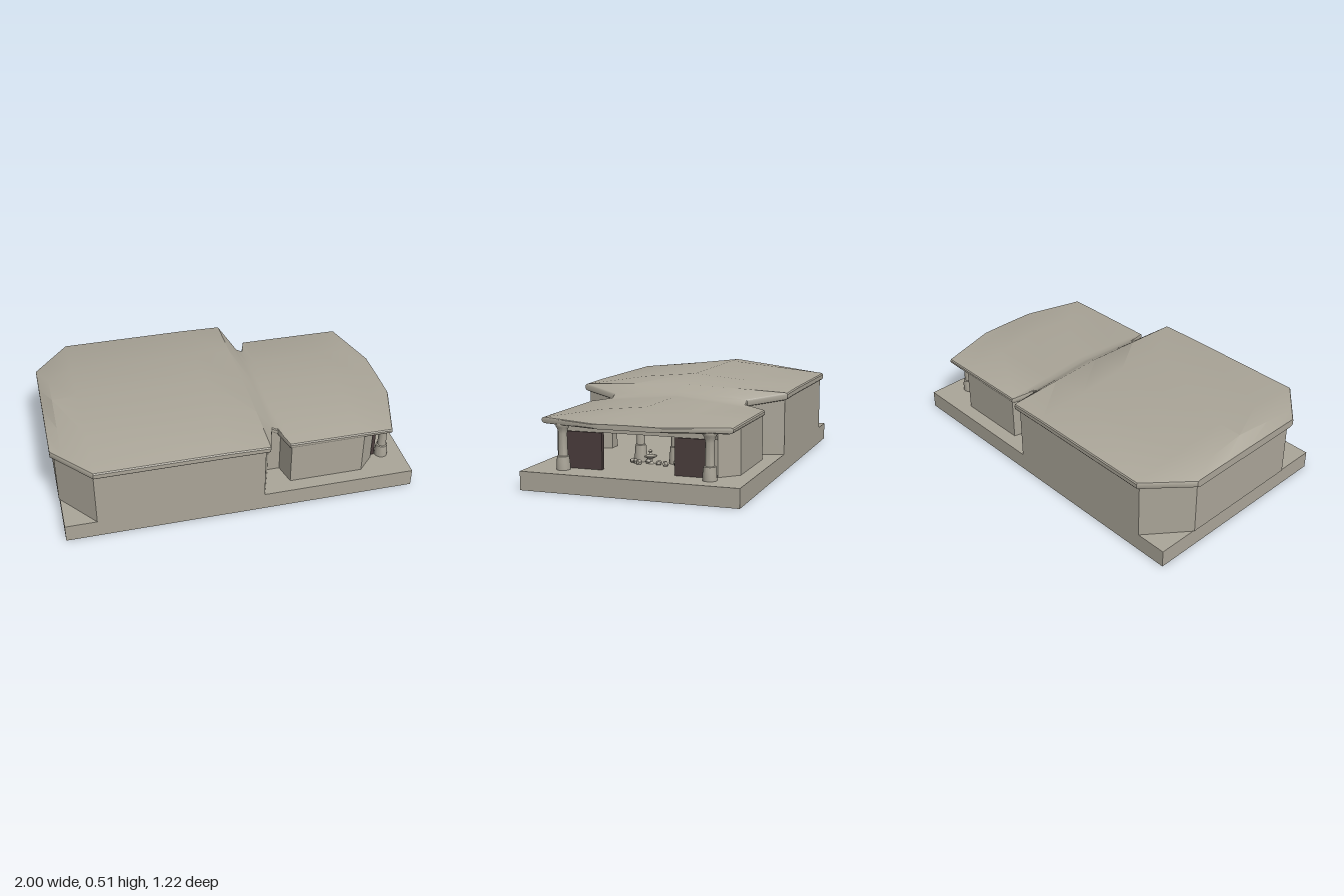
import * as THREE from 'three';
import { toCreasedNormals } from 'three/addons/utils/BufferGeometryUtils.js';

const stone = new THREE.MeshStandardMaterial({ color: 0xaaa598 });
stone.name = 'stone';
const wallStone = new THREE.MeshStandardMaterial({ color: 0xaaa598, side: THREE.DoubleSide });
wallStone.name = 'wall stone';
const darkWood = new THREE.MeshStandardMaterial({ color: 0x4a3d3c });
darkWood.name = 'dark wood';

function add(parent, name, geometry, material, x = 0, y = 0, z = 0) {
  const mesh = new THREE.Mesh(geometry, material);
  mesh.name = name;
  mesh.position.set(x, y, z);
  parent.add(mesh);
  return mesh;
}

function fromTriangles(positions) {
  const g = new THREE.BufferGeometry();
  g.setAttribute('position', new THREE.Float32BufferAttribute(positions, 3));
  g.computeVertexNormals();
  return g;
}

// Roof: cross-sections along x, each [x, half width, underside, eave top, ridge]
function roofGeometry() {
  const stations = [
    [-1, 0.38, 0.41, 0.455, 0.457],
    [-0.94, 0.449, 0.41, 0.455, 0.51],
    [-0.8, 0.61, 0.41, 0.455, 0.512],
    [-0.07, 0.61, 0.41, 0.455, 0.51],
    [0.15, 0.61, 0.408, 0.45, 0.475],
    [0.215, 0.4, 0.37, 0.41, 0.435],
    [0.25, 0.4, 0.35, 0.39, 0.422],
    [0.29, 0.52, 0.336, 0.372, 0.42],
    [0.7, 0.52, 0.336, 0.37, 0.421],
    [0.88, 0.52, 0.336, 0.368, 0.388],
    [0.98, 0.19, 0.34, 0.365, 0.367],
  ];
  const rings = stations.map(([x, w, low, eave, ridge]) => {
    const half = [
      [w - 0.02, low], [w - 0.005, low + 0.005], [w, low + 0.014],
      [w, eave - 0.01], [w - 0.005, eave - 0.003], [w - 0.015, eave],
      [w / 2, (eave + ridge) / 2],
    ];
    const left = half.map(([z, y]) => [x, y, z]);
    const right = half.map(([z, y]) => [x, y, -z]).reverse();
    return [[x, low, 0], ...left, [x, ridge, 0], ...right];
  });
  const n = rings[0].length;
  const out = [];
  const tri = (a, b, c) => out.push(...a, ...b, ...c);
  for (let i = 0; i < rings.length - 1; i++) {
    for (let j = 0; j < n; j++) {
      const k = (j + 1) % n;
      const a = rings[i][j], b = rings[i][k], c = rings[i + 1][j], d = rings[i + 1][k];
      tri(a, c, b);
      tri(b, c, d);
    }
  }
  // End caps
  const first = rings[0], last = rings[rings.length - 1];
  for (let j = 1; j < n - 1; j++) {
    tri(first[0], first[j], first[j + 1]);
    tri(last[0], last[j + 1], last[j]);
  }
  return toCreasedNormals(fromTriangles(out), 0.5);
}

// Outer walls of one side, following the roof: [x, z, top height]
function wallGeometry(side) {
  const path = [
    [-0.98, 0, 0.42], [-0.98, 0.36, 0.42], [-0.8, 0.59, 0.42], [0.13, 0.59, 0.42],
    [0.2, 0.39, 0.385], [0.27, 0.39, 0.36], [0.3, 0.512, 0.345],
    [0.72, 0.512, 0.345], [0.81, 0.42, 0.345], [0.81, 0.2, 0.345],
  ];
  const out = [];
  for (let i = 0; i < path.length - 1; i++) {
    const [x0, z0, h0] = path[i], [x1, z1, h1] = path[i + 1];
    const a = [x0, 0.1, z0 * side], b = [x1, 0.1, z1 * side];
    const c = [x1, h1, z1 * side], d = [x0, h0, z0 * side];
    const tris = side > 0 ? [a, b, c, a, c, d] : [a, c, b, a, d, c];
    out.push(...tris.flat());
  }
  return fromTriangles(out);
}

function lathe(points, sides = 20) {
  const g = new THREE.LatheGeometry(points.map(([r, y]) => new THREE.Vector2(r, y)), sides);
  return toCreasedNormals(g, 0.6);
}

export function createModel() {
  const model = new THREE.Group();
  model.name = 'stoneHall';

  add(model, 'platform', new THREE.BoxGeometry(1.975, 0.1, 1.18), stone, 0.0125, 0.05, 0);
  add(model, 'roof', roofGeometry(), stone);

  const porchColumn = lathe([
    [0, 0], [0.037, 0], [0.036, 0.035], [0.032, 0.07], [0.025, 0.073],
    [0.023, 0.19], [0.028, 0.215], [0.037, 0.23], [0.037, 0.242], [0, 0.242],
  ]);
  const hallColumn = lathe([
    [0, 0], [0.035, 0], [0.034, 0.03], [0.029, 0.09], [0.024, 0.094],
    [0.023, 0.24], [0, 0.24],
  ]);

  for (const side of [1, -1]) {
    const name = side > 0 ? 'left' : 'right';
    add(model, name + 'Walls', wallGeometry(side), wallStone);
    add(model, name + 'Door', new THREE.BoxGeometry(0.028, 0.195, 0.2), darkWood, 0.824, 0.1975, side * 0.3);
    add(model, name + 'PorchColumn', porchColumn, stone, 0.88, 0.1, side * 0.4);
    add(model, name + 'HallColumn', hallColumn, stone, 0.55, 0.1, side * 0.1);
  }
  // Beam over the doors and the entrance
  add(model, 'lintel', new THREE.BoxGeometry(0.03, 0.05, 0.84), stone, 0.815, 0.32, 0);

  // Small tiered basin in the entrance hall
  const basin = add(model, 'basin', lathe([
    [0, 0], [0.018, 0], [0.006, 0.012], [0.008, 0.025], [0.036, 0.038], [0.034, 0.043],
    [0.012, 0.05], [0.005, 0.06], [0.013, 0.068], [0.004, 0.075], [0, 0.08],
  ], 12), stone, 0.6, 0.1, 0.02);
  basin.rotation.x = 0.08;

  // Loose rubble around the hall columns
  const rock = new THREE.DodecahedronGeometry(0.018, 0);
  [0.125, 0.1, 0.075, 0.035, -0.03, -0.075, -0.12].forEach((z, i) => {
    const r = add(model, 'rubble', rock, stone, 0.6 + 0.02 * (i % 3), 0.11, z);
    r.rotation.set(i, i * 2, i * 0.7);
    r.scale.set(1, 0.8, 1 + 0.1 * (i % 2));
  });
  return model;
}
